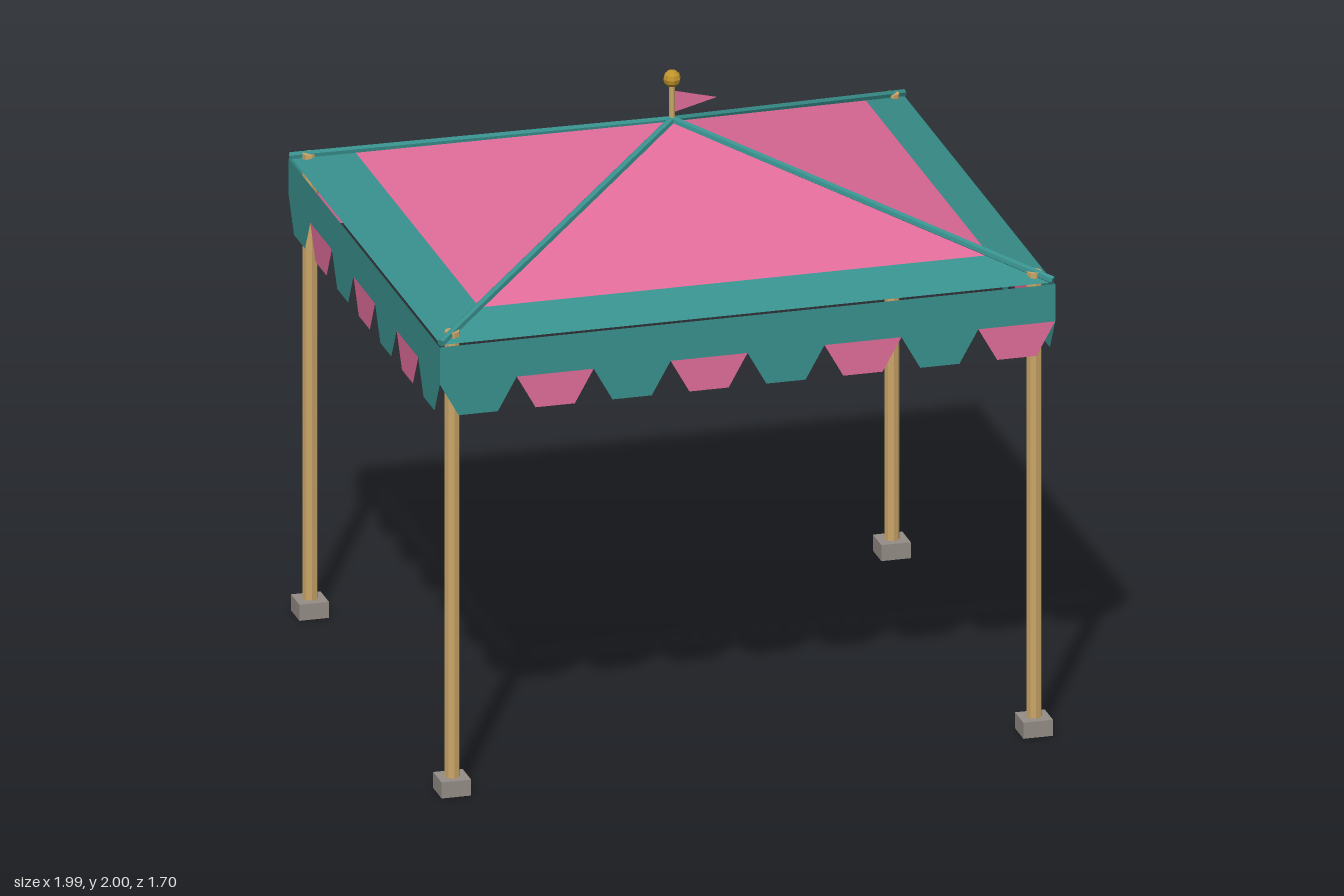
import * as THREE from 'three';

const make = (name, color, side = THREE.FrontSide) => {
  const m = new THREE.MeshStandardMaterial({ color, side, flatShading: true });
  m.name = name;
  return m;
};

export function createModel() {
  const teal = make('teal canvas', 0x38908d, THREE.DoubleSide);
  const pink = make('pink canvas', 0xe06c99, THREE.DoubleSide);
  const wood = make('tan wood', 0xcba668);
  const stone = make('grey stone', 0x948d87);
  const gold = make('gold', 0xc0942c);

  const root = new THREE.Group();
  root.name = 'canopyTent';
  const add = (name, geometry, material, parent = root) => {
    const mesh = new THREE.Mesh(geometry, material);
    mesh.name = name;
    parent.add(mesh);
    return mesh;
  };
  // Straight rod between two points
  const rod = (name, a, b, radius, sides, material) => {
    const dir = b.clone().sub(a);
    const mesh = add(name, new THREE.CylinderGeometry(radius, radius, dir.length(), sides), material);
    mesh.position.copy(a).add(b).multiplyScalar(0.5);
    mesh.quaternion.setFromUnitVectors(new THREE.Vector3(0, 1, 0), dir.normalize());
    return mesh;
  };
  const polygon = (points) => new THREE.ShapeGeometry(new THREE.Shape(points.map(([x, y]) => new THREE.Vector2(x, y))));
  // Flat convex face from corners in counter-clockwise order
  const face = (corners) => {
    const tris = [];
    for (let i = 1; i < corners.length - 1; i++) tris.push(...corners[0], ...corners[i], ...corners[i + 1]);
    const g = new THREE.BufferGeometry();
    g.setAttribute('position', new THREE.Float32BufferAttribute(tris, 3));
    g.computeVertexNormals();
    return g;
  };

  const HX = 0.985, HZ = 0.842, EAVE = 1.503, APEX = 1.835, INNER = 0.833;
  const VX = 0.99, VZ = 0.848, BAND_TOP = 1.498, BAND_LOW = 1.375, HEM = 1.267;
  const innerY = EAVE + (APEX - EAVE) * (1 - INNER);

  // Four sides: roof panel, border and scalloped valance
  const sides = [
    ['front', VX, VZ, HX, HZ, 8], ['left', VZ, VX, HZ, HX, 7],
    ['back', VX, VZ, HX, HZ, 8], ['right', VZ, VX, HZ, HX, 7],
  ];
  sides.forEach(([label, half, out, roofHalf, roofOut, count], i) => {
    const side = new THREE.Group();
    side.name = `${label}Side`;
    side.rotation.y = i * Math.PI / 2;
    root.add(side);

    const w = roofHalf * INNER, d = roofOut * INNER;
    add('roofPanel', face([[-w, innerY, d], [w, innerY, d], [0, APEX, 0]]), pink, side);
    add('roofBorder', face([[-roofHalf, EAVE, roofOut], [roofHalf, EAVE, roofOut], [w, innerY, d], [-w, innerY, d]]), teal, side);

    add('valanceBand', polygon([[-half, BAND_LOW], [half, BAND_LOW], [half, BAND_TOP], [-half, BAND_TOP]]), teal, side)
      .position.z = out;
    const step = 2 * half / count, inset = step * 0.245;
    for (let k = 0; k < count; k++) {
      const a = -half + k * step, b = a + step;
      add('scallop', polygon([[a, BAND_LOW], [a + inset, HEM], [b - inset, HEM], [b, BAND_LOW]]), k % 2 ? pink : teal, side)
        .position.z = out;
    }
  });

  // Corner posts, feet and hip ribs
  const top = new THREE.Vector3(0, APEX, 0);
  for (const sx of [-1, 1]) for (const sz of [-1, 1]) {
    const x = sx * 0.936, z = sz * 0.798;
    rod('post', new THREE.Vector3(x, 0, z), new THREE.Vector3(x, 1.53, z), 0.024, 8, wood);
    add('foot', new THREE.BoxGeometry(0.095, 0.053, 0.095), stone).position.set(x, 0.0285, z);
    rod('hipRib', new THREE.Vector3(sx * 0.985, EAVE + 0.006, sz * 0.842), top, 0.013, 6, teal);
  }

  // Finial pole, ball and pennant
  rod('finialPole', top, new THREE.Vector3(0, 1.96, 0), 0.009, 8, wood);
  add('finialBall', new THREE.SphereGeometry(0.028, 8, 6), gold).position.y = 1.972;
  add('pennant', polygon([[0.008, 1.86], [0.145, 1.895], [0.008, 1.93]]), pink);

  return root;
}
